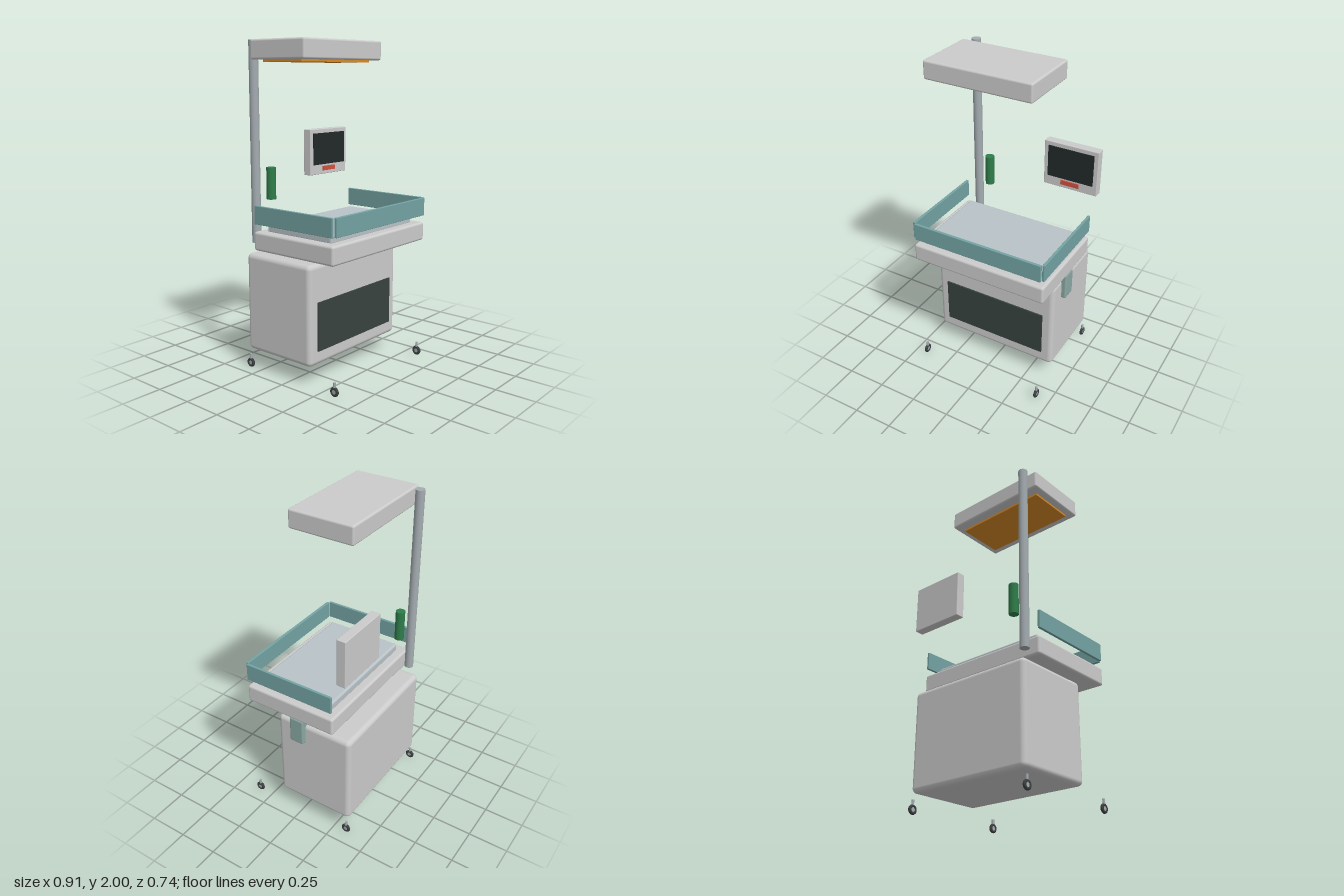
import * as THREE from 'three';
import { RoundedBoxGeometry } from 'three/addons/geometries/RoundedBoxGeometry.js';

const mat = (color) => new THREE.MeshStandardMaterial({ color });
const grey = mat(0xcccccc);
const teal = mat(0x74a3a3);
const bracketTeal = mat(0x8aa8a2);
const dark = mat(0x38433f);
const screenBlack = mat(0x222a2a);
const steel = mat(0xa4acb0);
const padBlue = mat(0xb9c3c8);
const green = mat(0x2f7d4a);
const orange = mat(0xd98a25);
const red = mat(0xd2503f);
const rubber = mat(0x3c3f40);

export function createModel() {
  const model = new THREE.Group();

  const add = (name, geometry, material, x, y, z, parent = model) => {
    const mesh = new THREE.Mesh(geometry, material);
    mesh.name = name;
    mesh.position.set(x, y, z);
    parent.add(mesh);
    return mesh;
  };

  // Box given by its limits on each axis; rounded when a radius is given
  const box = (name, [x0, x1], [y0, y1], [z0, z1], material, radius = 0) => {
    const size = [x1 - x0, y1 - y0, z1 - z0];
    const geometry = radius
      ? new RoundedBoxGeometry(...size, 4, radius)
      : new THREE.BoxGeometry(...size);
    return add(name, geometry, material, (x0 + x1) / 2, (y0 + y1) / 2, (z0 + z1) / 2);
  };

  const post = (name, radius, y0, y1, x, z, material) =>
    add(name, new THREE.CylinderGeometry(radius, radius, y1 - y0, 32), material, x, (y0 + y1) / 2, z);

  // Base cabinet with its dark front panel
  box('cabinet', [-0.425, 0.412], [0.117, 0.73], [-0.358, 0.157], grey, 0.03);
  box('cabinetFrontPanel', [-0.357, 0.342], [0.205, 0.502], [0.15, 0.166], dark);

  // Bed tray and mattress
  box('bedTray', [-0.455, 0.44], [0.767, 0.882], [-0.258, 0.358], grey, 0.015);
  box('mattress', [-0.397, 0.384], [0.872, 0.928], [-0.202, 0.297], padBlue, 0.014);

  // Guard panels around three sides, open at the back
  box('frontGuard', [-0.435, 0.425], [0.928, 1.04], [0.35, 0.368], teal, 0.003);
  box('rightGuard', [-0.456, -0.439], [0.928, 1.04], [-0.25, 0.352], teal, 0.003);
  box('leftGuard', [0.427, 0.443], [0.928, 1.04], [-0.25, 0.352], teal, 0.003);

  // Bracket on the left side of the cabinet
  box('sideBracket', [0.343, 0.441], [0.597, 0.772], [-0.046, 0.05], bracketTeal, 0.01);

  // Pole, overhead hood and heating panel
  post('pole', 0.028, 0.8, 2, -0.388, -0.302, steel);
  box('hood', [-0.455, 0.241], [1.886, 2], [-0.26, 0.157], grey, 0.012);
  box('heaterPanel', [-0.411, 0.193], [1.873, 1.89], [-0.2, 0.1], orange);

  // Gas bottle
  post('gasBottle', 0.029, 1.055, 1.25, -0.287, -0.273, green);

  // Monitor with screen and button strip
  box('monitor', [0.094, 0.452], [1.155, 1.452], [-0.352, -0.295], grey, 0.004);
  box('monitorScreen', [0.122, 0.425], [1.22, 1.425], [-0.3, -0.288], screenBlack);
  box('monitorButton', [0.212, 0.334], [1.178, 1.207], [-0.3, -0.288], red);

  // Four casters: tyre, hub and short stem
  const tyre = new THREE.TorusGeometry(0.02, 0.0095, 12, 28).rotateY(Math.PI / 2);
  const hub = new THREE.CylinderGeometry(0.013, 0.013, 0.012, 20).rotateZ(Math.PI / 2);
  const stem = new THREE.CylinderGeometry(0.008, 0.008, 0.045, 16);
  for (const x of [-0.423, 0.408]) {
    for (const z of [-0.338, 0.342]) {
      const caster = new THREE.Group();
      caster.name = 'caster';
      caster.position.set(x, 0, z);
      add('casterTyre', tyre, rubber, 0, 0.03, 0, caster);
      add('casterHub', hub, steel, 0, 0.03, 0, caster);
      add('casterStem', stem, steel, 0, 0.063, 0, caster);
      model.add(caster);
    }
  }

  return model;
}
